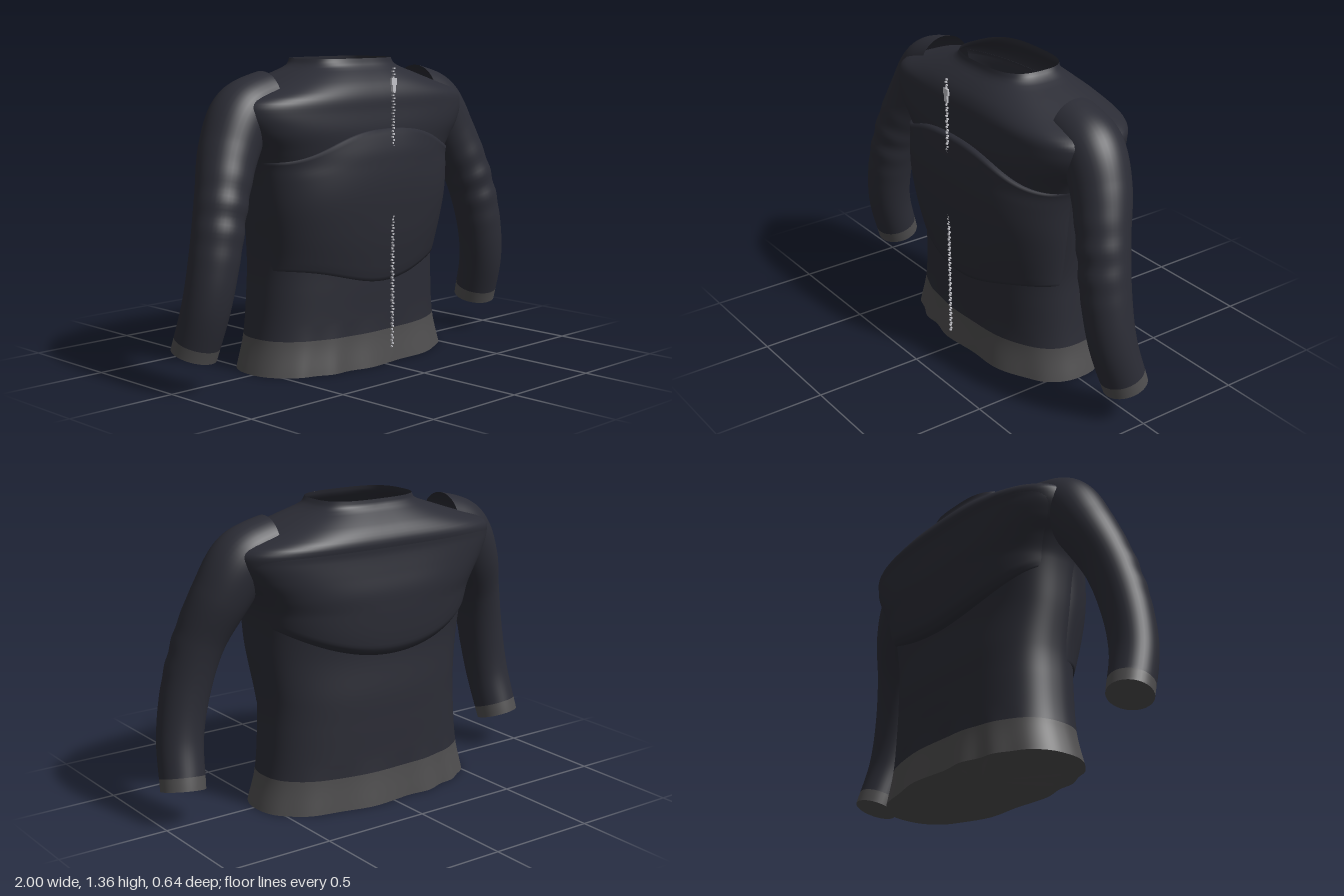
import * as THREE from 'three';

const fabric = new THREE.MeshStandardMaterial({ name: 'dark navy fabric', color: 0x2b2c35, side: THREE.DoubleSide });
const ribbing = new THREE.MeshStandardMaterial({ name: 'grey ribbing', color: 0x4e4d4e, side: THREE.DoubleSide });
const metal = new THREE.MeshStandardMaterial({ name: 'zipper metal', color: 0xc4c4ca });

// Grid surface: fn(rowFraction, columnFraction) -> Vector3
function surface(name, material, rows, cols, fn, closed = false) {
  const pos = [], index = [], stride = closed ? cols : cols + 1;
  for (let r = 0; r <= rows; r++)
    for (let c = 0; c < stride; c++) pos.push(...fn(r / rows, c / cols).toArray());
  for (let r = 0; r < rows; r++)
    for (let c = 0; c < cols; c++) {
      const d = closed ? (c + 1) % cols : c + 1;
      const a = r * stride + c, b = r * stride + d;
      index.push(a, a + stride, b, b, a + stride, b + stride);
    }
  const geo = new THREE.BufferGeometry();
  geo.setAttribute('position', new THREE.Float32BufferAttribute(pos, 3));
  geo.setIndex(index);
  geo.computeVertexNormals();
  const mesh = new THREE.Mesh(geo, material);
  mesh.name = name;
  return mesh;
}

// Smooth interpolation in a table whose first column is the key
function lookup(table, key, col) {
  const last = table.length - 1;
  let i = 0;
  while (i < last - 1 && key > table[i + 1][0]) i++;
  const slope = (k) => {
    const a = table[Math.max(k - 1, 0)], b = table[Math.min(k + 1, last)];
    return (b[col] - a[col]) / (b[0] - a[0]);
  };
  const p = table[i], q = table[i + 1], h = q[0] - p[0];
  const t = THREE.MathUtils.clamp((key - p[0]) / h, 0, 1), t2 = t * t, t3 = t2 * t;
  return (2 * t3 - 3 * t2 + 1) * p[col] + (t3 - 2 * t2 + t) * h * slope(i)
    + (3 * t2 - 2 * t3) * q[col] + (t3 - t2) * h * slope(i + 1);
}

// Torso sections: height, half width, front z, back z, squareness
const TORSO = [
  [0, 0.56, 0.265, -0.3, 2.4], [0.15, 0.522, 0.246, -0.285, 2.4], [0.38, 0.503, 0.245, -0.278, 2.4],
  [0.5, 0.503, 0.246, -0.275, 2.4], [0.7, 0.53, 0.25, -0.262, 2.4], [0.9, 0.56, 0.262, -0.28, 2.5],
  [0.98, 0.592, 0.27, -0.288, 2.7], [1.06, 0.642, 0.274, -0.288, 2.9], [1.14, 0.672, 0.265, -0.29, 3],
  [1.2, 0.645, 0.258, -0.297, 3], [1.25, 0.495, 0.235, -0.272, 2.9], [1.29, 0.378, 0.198, -0.233, 2.8],
  [1.33, 0.268, 0.153, -0.192, 2.8], [1.362, 0.24, 0.14, -0.185, 3],
];
const signedPow = (v, e) => Math.sign(v) * Math.abs(v) ** e;
const ripple = (a) => Math.sin(13 * a + 1.5 * Math.sin(3 * a)) * Math.abs(Math.sin(a));

function torsoPoint(y, a, offset = 0) {
  const [hw, zf, zb, n] = [1, 2, 3, 4].map((c) => lookup(TORSO, y, c));
  const fold = 1 + 0.03 * Math.max(0, 1 - y / 0.22) * ripple(a);
  const c = signedPow(Math.cos(a), 2 / n), s = signedPow(Math.sin(a), 2 / n);
  return new THREE.Vector3(
    hw * c + offset * 0.5 * Math.cos(a), y,
    (zf + zb) / 2 + ((zf - zb) / 2) * s * fold + offset * Math.sin(a));
}

// Raised cloth layer lying on the torso between two edge curves, fading out sideways
function raisedLayer(name, middle, spread, fade, lower, upper, profile) {
  return surface(name, fabric, 40, 64, (v, u) => {
    const t = u * 2 - 1, a = middle + t * spread;
    const x = Math.abs(0.53 * signedPow(Math.cos(a), 0.83));
    const k = THREE.MathUtils.clamp((v - 0.025) / 0.95, 0, 1);
    const y = THREE.MathUtils.lerp(lower(x), upper(x), k);
    const tucked = v === 0 || v === 1;
    const lift = tucked ? -0.004 : (lookup(profile, k, 1) + 0.004) * (1 - Math.abs(t) ** fade) - 0.004;
    return torsoPoint(y, a, lift);
  });
}

// Sleeve stations: centre and radius, shoulder to wrist
const ARM = [
  [0.485, 1.182, -0.01, 0.134], [0.6, 1.13, -0.005, 0.138], [0.69, 0.995, 0.015, 0.13], [0.775, 0.8, 0.065, 0.114],
  [0.835, 0.58, 0.092, 0.108], [0.875, 0.37, 0.082, 0.103], [0.9, 0.155, 0.024, 0.099],
];
const armCurve = new THREE.CatmullRomCurve3(ARM.map((p) => new THREE.Vector3(p[0], p[1], p[2])));
const armRadii = ARM.map((p, i) => [i / (ARM.length - 1), p[3]]);

function armPoint(u, turn, side, scale = 1) {
  const th = turn * Math.PI * 2 * side;
  const T = armCurve.getTangent(u);
  if (u < 0.08) T.lerp(new THREE.Vector3(1, 0, 0), 1 - u / 0.08).normalize();
  const N = new THREE.Vector3(0, 0, 1).addScaledVector(T, -T.z).normalize();
  const B = new THREE.Vector3().crossVectors(T, N);
  // Soft creases at the front of the elbow
  const crease = 0.004 * Math.exp(-(((u - 0.55) / 0.1) ** 2)) * Math.sin(u * 75) * Math.max(0, Math.sin(th) * 0.7 + 0.3);
  const r = (lookup(armRadii, u, 1) + crease) * scale;
  const p = armCurve.getPoint(u).addScaledVector(B, r * Math.cos(th)).addScaledVector(N, r * Math.sin(th));
  p.x *= side;
  return p;
}

function sleeve(side) {
  const g = new THREE.Group(), cuffStart = 0.958;
  g.name = side > 0 ? 'leftSleeve' : 'rightSleeve';
  g.add(
    surface('sleeveTube', fabric, 72, 40, (v, u) => armPoint(v * cuffStart, u, side), true),
    surface('cuff', ribbing, 4, 40, (v, u) => armPoint(cuffStart + v * (1 - cuffStart), u, side), true),
    surface('cuffEnd', ribbing, 2, 40, (v, u) => armPoint(1, u, side, 1 - v), true));
  return g;
}

function zipper() {
  const g = new THREE.Group();
  g.name = 'zipper';
  // Alternating teeth in one straight line
  const count = 96, tooth = new THREE.BoxGeometry(0.009, 0.007, 0.009);
  for (let i = 0; i < count; i++) {
    const m = new THREE.Mesh(tooth, metal);
    m.name = 'zipperTooth';
    m.position.set(i % 2 ? 0.003 : -0.003, 0.087 + (1.235 * i) / (count - 1), 0.307);
    g.add(m);
  }
  // Slider and pull tab
  for (const [name, w, h, y] of [['zipperSlider', 0.032, 0.03, 1.265], ['zipperPull', 0.02, 0.034, 1.238]]) {
    const m = new THREE.Mesh(new THREE.BoxGeometry(w, h, 0.0095), metal);
    m.name = name;
    m.position.set(0, y, 0.308);
    g.add(m);
  }
  return g;
}

export function createModel() {
  const model = new THREE.Group();
  model.name = 'jacket';
  const TAU = Math.PI * 2, hemTop = 0.152;
  const bump = (x, w) => 0.5 + 0.5 * Math.cos(Math.PI * Math.min(1, x / w));

  // Body, hem band and the gathered closing cloth underneath
  model.add(
    surface('torso', fabric, 90, 128, (v, u) => torsoPoint(hemTop + v * (1.362 - hemTop), u * TAU), true),
    surface('hemBand', ribbing, 10, 128, (v, u) => torsoPoint(v * hemTop, u * TAU), true),
    surface('hemUnderside', ribbing, 16, 128, (v, u) => {
      const p = torsoPoint(0, u * TAU), gather = 0.04 * v * v * (1 - v) * ripple(u * TAU);
      return new THREE.Vector3(p.x * v, Math.max(0, 0.03 * (1 - v * v) + gather), -0.02 + (p.z + 0.02) * v);
    }, true));

  // Chest panel and back yoke
  model.add(
    raisedLayer('chestPanel', Math.PI / 2, 1.42, 4,
      (x) => 0.46 - 0.08 * bump(x, 0.5), (x) => 0.935 + 0.125 * bump(x, 0.52),
      [[0, 0.014], [0.08, 0.028], [0.33, 0.055], [0.6, 0.066], [0.82, 0.052], [1, 0.02]]),
    raisedLayer('backYoke', -Math.PI / 2, 1.3, 2.5,
      (x) => 0.69 + 0.17 * (x / 0.53) ** 2, () => 1.18,
      [[0, 0.022], [0.08, 0.046], [0.4, 0.04], [0.65, 0.026], [1, -0.002]]));

  model.add(sleeve(1), sleeve(-1), zipper());
  return model;
}
